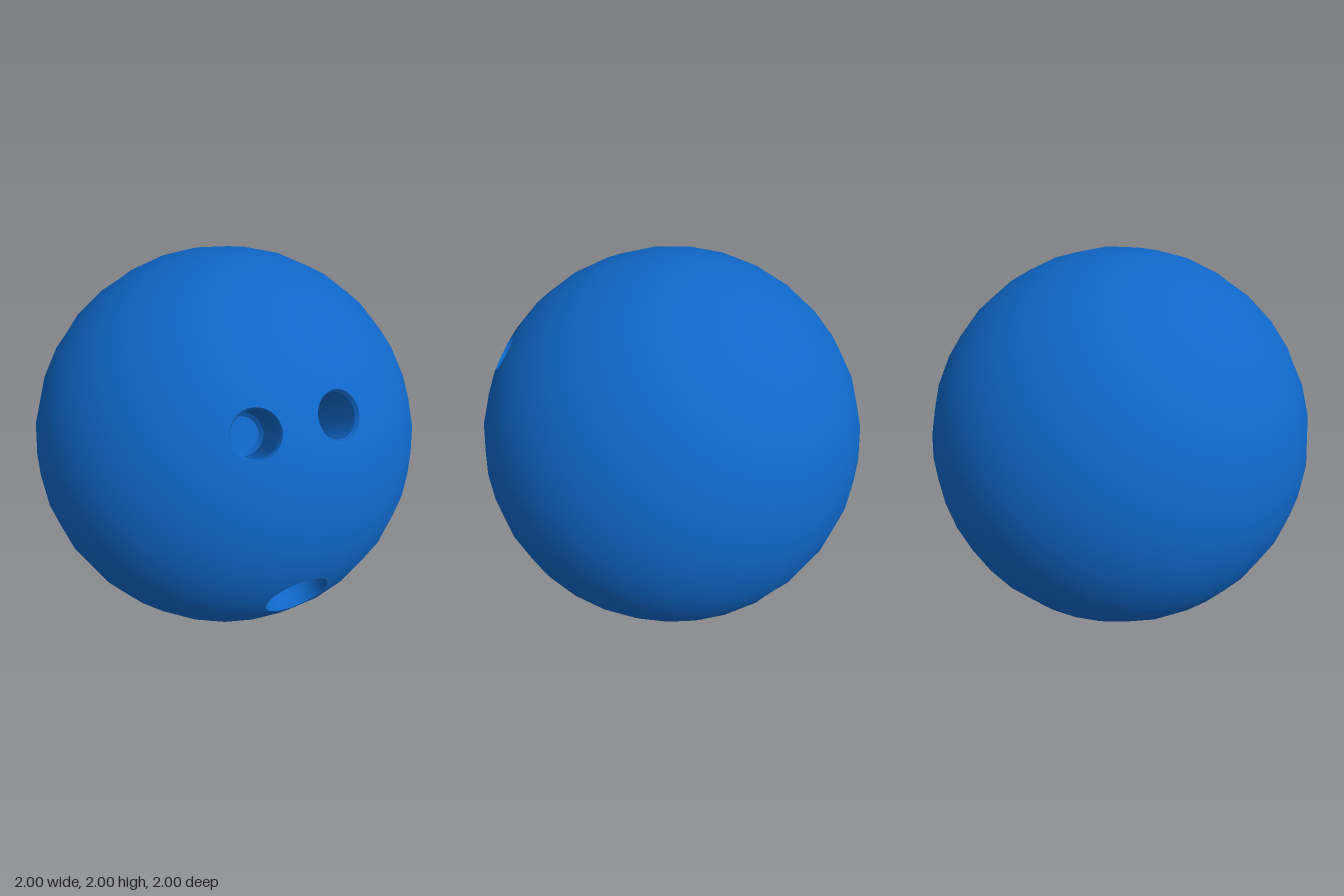
import * as THREE from 'three';
import { toCreasedNormals } from 'three/addons/utils/BufferGeometryUtils.js';

const blue = new THREE.MeshStandardMaterial({ color: 0x0f67c8 });
blue.name = 'glossy blue';

// Drilled holes: direction from the ball's centre, radius and depth
const holes = [
  { name: 'leftFingerHole', dir: [0.2, 0.537, 0.82], r: 0.114, depth: 0.4 },
  { name: 'rightFingerHole', dir: [-0.2, 0.537, 0.82], r: 0.114, depth: 0.4 },
  { name: 'thumbHole', dir: [0, -0.393, 0.92], r: 0.162, depth: 0.62 },
].map((h) => ({ ...h, axis: new THREE.Vector3(...h.dir).normalize(), top: Math.sqrt(1 - h.r * h.r) - 0.003 }));

const CELLS = 4; // coarse facets per half cube face

// Point on a coarse cube-sphere, interpolated inside its facet
function facetPoint(p) {
  const out = new THREE.Vector3();
  const c = p.toArray().map((v) => Math.round(v * 1e5) / 1e5 * CELLS);
  for (let corner = 0; corner < 8; corner++) {
    let weight = 1;
    const q = c.map((v, i) => {
      const low = Math.floor(v), t = v - low, high = (corner >> i) & 1;
      weight *= high ? t : 1 - t;
      return Math.tan((low + high) / CELLS * Math.PI / 4);
    });
    if (weight > 0) out.addScaledVector(new THREE.Vector3(...q).normalize(), weight);
  }
  return out;
}

// Ball skin with round openings: points inside a hole slide out to its rim
function ballGeometry() {
  const geo = new THREE.BoxGeometry(2, 2, 2, 64, 64, 64);
  const pos = geo.attributes.position, normal = geo.attributes.normal;
  const inside = [];
  const p = new THREE.Vector3(), radial = new THREE.Vector3();
  for (let i = 0; i < pos.count; i++) {
    p.copy(facetPoint(p.fromBufferAttribute(pos, i)));
    for (const h of holes) {
      const along = p.dot(h.axis);
      radial.copy(p).addScaledVector(h.axis, -along);
      if (along > 0 && radial.length() < h.r) {
        inside[i] = true;
        p.copy(h.axis).multiplyScalar(h.top).addScaledVector(radial.normalize(), h.r);
      }
    }
    pos.setXYZ(i, p.x, p.y, p.z);
    p.normalize();
    normal.setXYZ(i, p.x, p.y, p.z);
  }
  // Drop the triangles that lie wholly inside a hole
  const old = geo.index.array, kept = [];
  for (let i = 0; i < old.length; i += 3) {
    const tri = [old[i], old[i + 1], old[i + 2]];
    if (!tri.every((v) => inside[v])) kept.push(...tri);
  }
  geo.setIndex(kept);
  geo.clearGroups();
  return geo;
}

// Bevelled rim, wall and floor of one hole, facing inwards
function holeGeometry({ r, top, depth }) {
  const profile = [
    [r, top], [r - 0.01, top - 0.02], [r - 0.01, top - depth + 0.02],
    [r - 0.03, top - depth], [0, top - depth],
  ].map(([x, y]) => new THREE.Vector2(x, y));
  return toCreasedNormals(new THREE.LatheGeometry(profile, 32), 0.4);
}

export function createModel() {
  const model = new THREE.Group();
  model.name = 'bowlingBall';

  const ball = new THREE.Mesh(ballGeometry(), blue);
  ball.name = 'ballShell';
  ball.position.y = 1;
  model.add(ball);

  for (const h of holes) {
    const hole = new THREE.Mesh(holeGeometry(h), blue);
    hole.name = h.name;
    hole.quaternion.setFromUnitVectors(new THREE.Vector3(0, 1, 0), h.axis);
    hole.position.y = 1;
    model.add(hole);
  }
  return model;
}
